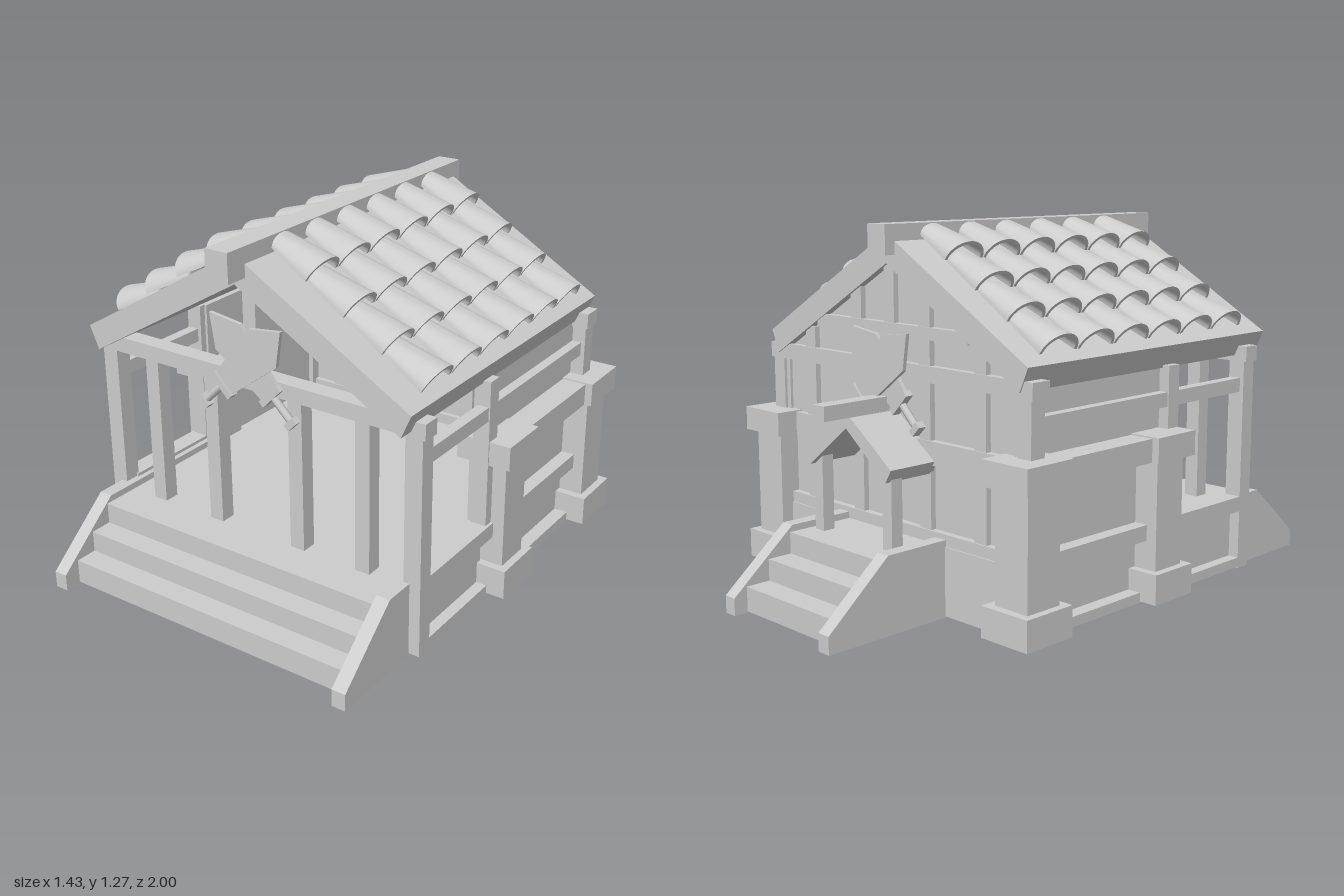
import * as THREE from 'three';
import { toCreasedNormals } from 'three/addons/utils/BufferGeometryUtils.js';

export function createModel() {
  const root = new THREE.Group();
  const stone = new THREE.MeshStandardMaterial({ color: 0xcccccc });
  stone.name = 'plainGrey';

  const add = (name, geo, parent = root) => {
    const m = new THREE.Mesh(geo, stone);
    m.name = name;
    parent.add(m);
    return m;
  };
  // Box given by its limits on each axis
  const box = (name, x0, x1, y0, y1, z0, z1) => {
    const m = add(name, new THREE.BoxGeometry(x1 - x0, y1 - y0, z1 - z0));
    m.position.set((x0 + x1) / 2, (y0 + y1) / 2, (z0 + z1) / 2);
    return m;
  };
  const pair = (name, x0, x1, ...r) => {
    box(name + 'Left', x0, x1, ...r);
    box(name + 'Right', -x1, -x0, ...r);
  };
  const polygon = (pts) => new THREE.Shape(pts.map(([a, b]) => new THREE.Vector2(a, b)));
  // Profile in x,y extruded from z0 to z1
  const prism = (name, pts, z0, z1) => {
    const g = new THREE.ExtrudeGeometry(polygon(pts), { depth: z1 - z0, bevelEnabled: false });
    return add(name, g.translate(0, 0, z0));
  };
  // Profile in z,y extruded from x0 to x1
  const sideProfile = (name, pts, x0, x1) => {
    const g = new THREE.ExtrudeGeometry(polygon(pts.map(([z, y]) => [-z, y])), { depth: x1 - x0, bevelEnabled: false });
    g.rotateY(Math.PI / 2).translate(x0, 0, 0);
    g.scale(1, 1, 1);
    return add(name, g);
  };

  // Floor and foundation
  box('foundation', -0.6, 0.6, 0.005, 0.24, -0.52, 0.7);
  pair('sillBeam', 0.58, 0.65, 0.01, 0.045, -0.5, 0.65);

  // Front and back stairs
  [0.94, 0.86, 0.78].forEach((z, i) => {
    box('frontStep', -0.56, 0.56, 0.005, 0.09 + i * 0.075, 0.6, z);
  });
  [0.95, 0.86, 0.77].forEach((z, i) => {
    box('backStep', -0.225, 0.225, 0.005, 0.09 + i * 0.075, -z, -0.5);
  });
  const frontCheek = [[1, 0], [1, 0.06], [0.76, 0.263], [0.2, 0.263], [0.2, 0]];
  const backCheek = [[-1, 0], [-1, 0.06], [-0.76, 0.263], [-0.5, 0.263], [-0.5, 0]];
  for (const s of [-1, 1]) {
    sideProfile('frontStairSide', frontCheek, s * 0.585 - 0.025, s * 0.585 + 0.025);
    sideProfile('backStairSide', backCheek, s * 0.25 - 0.025, s * 0.25 + 0.025);
  }

  // Side walls, rails and heavy columns
  pair('sideWall', 0.57, 0.6, 0.24, 0.8, -0.5, 0.2);
  pair('lowRail', 0.58, 0.65, 0.22, 0.275, -0.5, 0.6);
  pair('highRail', 0.595, 0.635, 0.66, 0.71, -0.5, 0.6);
  pair('sideBeam', 0.57, 0.69, 0.5, 0.58, -0.42, 0.05);
  pair('wallPost', 0.58, 0.64, 0.24, 0.8, 0.17, 0.225);
  const column = (zc, w, x0) => {
    pair('column', x0, 0.69, 0.12, 0.5, zc - w, zc + w);
    pair('columnFoot', x0 - 0.03, 0.717, 0.015, 0.12, zc - w - 0.03, zc + w + 0.03);
    pair('columnCap', x0 - 0.03, 0.717, 0.5, 0.585, zc - w - 0.03, zc + w + 0.03);
  };
  column(0.122, 0.068, 0.55);
  column(-0.493, 0.072, 0.55);
  pair('rearCornerPost', 0.59, 0.65, 0.58, 0.825, -0.51, -0.45);

  // Porch posts and front frame
  pair('frontCornerPost', 0.588, 0.65, 0.005, 0.825, 0.59, 0.65);
  for (const x of [0.172, 0.43]) pair('porchPost', x - 0.027, x + 0.027, 0.24, 0.78, 0.592, 0.647);
  box('frontTieBeam', -0.66, 0.66, 0.77, 0.825, 0.588, 0.652);
  box('frontKingPost', -0.025, 0.025, 0.82, 1.16, 0.595, 0.645);

  // Rear gable wall with its timber frame
  prism('rearWall', [[-0.6, 0.01], [0.6, 0.01], [0.6, 0.81], [0, 1.16], [-0.6, 0.81]], -0.49, -0.46);
  [[0.01, 0.045, 0.6], [0.22, 0.28, 0.6], [0.5, 0.58, 0.6], [0.77, 0.825, 0.66], [0.91, 0.95, 0.38]].forEach(([a, b, w]) =>
    box('rearBeam', -w, w, a, b, -0.515, -0.44));
  for (const [x, top] of [[0.172, 1.06], [0.43, 0.9]])
    pair('rearStud', x - 0.027, x + 0.027, 0.045, top, -0.51, -0.445);
  box('rearKingPost', -0.025, 0.025, 0.82, 1.16, -0.51, -0.445);

  // Main roof
  for (const s of [-1, 1]) {
    const pts = [[0, 1.145], [0.61, 0.79], [0.645, 0.87], [0, 1.245]].map(([x, y]) => [s * x, y]);
    prism('roofSlope', pts, -0.52, 0.71);
  }
  box('ridgeBeam', -0.044, 0.044, 1.175, 1.275, -0.56, 0.79);

  // Roof tile: half ring flaring from the upper end to the lower end
  const arch = new THREE.Shape();
  arch.absellipse(0, 0, 0.085, 0.068, 0, Math.PI, false);
  arch.absellipse(0, 0, 0.073, 0.056, Math.PI, 0, true);
  const L = 0.185;
  const raw = new THREE.ExtrudeGeometry(arch, { depth: L, bevelEnabled: false, curveSegments: 10 });
  const p = raw.attributes.position;
  for (let i = 0; i < p.count; i++) {
    const t = p.getZ(i) / L; // 1 is the lower end
    p.setXY(i, p.getX(i) * (0.63 + 0.37 * t), p.getY(i) * (0.5 + 0.5 * t) + 0.012 * t);
  }
  const tileGeo = toCreasedNormals(raw.rotateY(Math.PI / 2), 0.7);
  const angle = Math.atan(0.582);
  for (const s of [0, Math.PI]) {
    const side = new THREE.Group();
    side.name = s ? 'roofTilesRight' : 'roofTilesLeft';
    side.rotation.y = s;
    root.add(side);
    for (let row = 0; row < 4; row++) {
      for (let c = 0; c < 6; c++) {
        const x = 0.605 - row * 0.14 - L * Math.cos(angle);
        const z = 0.52 - c * 0.174;
        const tile = add('roofTile', tileGeo, side);
        tile.position.set(x, 1.24 - 0.582 * x + row * 0.006, s ? -z : z);
        tile.rotation.z = -angle;
      }
    }
  }

  // Small canopy above the back door
  for (const s of [-1, 1]) {
    prism('canopySlope', [[0, 0.62], [0.195, 0.47], [0.222, 0.515], [0, 0.675]].map(([x, y]) => [s * x, y]), -0.7, -0.5);
  }
  box('canopyRidge', -0.03, 0.03, 0.66, 0.71, -0.81, -0.48);
  pair('canopyPost', 0.155, 0.2, 0.24, 0.5, -0.68, -0.635);

  // Crossed swords, each with the tip at the origin and the hilt along -y
  const blade = polygon([[0, 0], [-0.075, -0.1], [-0.045, -0.325], [0.045, -0.325], [0.075, -0.1]]);
  const bladeGeo = new THREE.ExtrudeGeometry(blade, { depth: 0.014, bevelEnabled: false }).translate(0, 0, -0.007);
  const swords = (name, tipY, z) => {
    [-1, 1].forEach((s) => {
      const sword = new THREE.Group();
      sword.name = name;
      sword.position.set(s * 0.148, tipY, z + s * 0.008);
      sword.rotation.z = -s * 0.8;
      root.add(sword);
      add('blade', bladeGeo, sword);
      add('guard', new THREE.BoxGeometry(0.1, 0.024, 0.03), sword).position.y = -0.335;
      add('grip', new THREE.CylinderGeometry(0.013, 0.013, 0.1, 8), sword).position.y = -0.39;
      add('pommel', new THREE.BoxGeometry(0.046, 0.024, 0.03), sword).position.y = -0.445;
    });
  };
  swords('frontSword', 1.01, 0.665);
  swords('backSword', 0.93, -0.55);

  return root;
}
